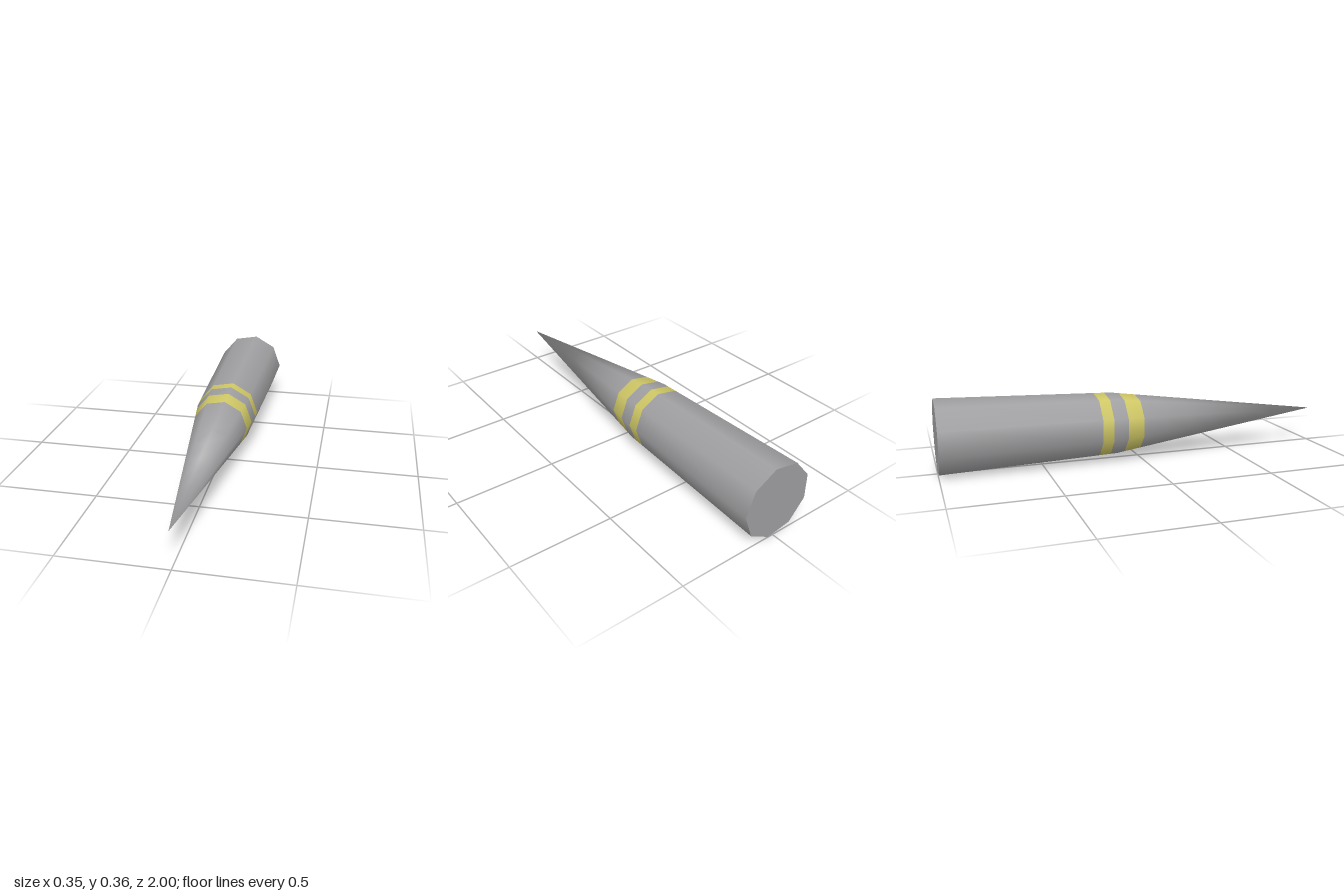
import * as THREE from 'three';

const SIDES = 9;
const CENTRE = [-0.006, 0.181];
const BACK = -1, SHOULDER = -0.14, TIP = 1;
const R_BACK = 0.183, R_SHOULDER = 0.156;

// Radius of the body at a given z
function radiusAt(z) {
  return z < SHOULDER
    ? THREE.MathUtils.mapLinear(z, BACK, SHOULDER, R_BACK, R_SHOULDER)
    : THREE.MathUtils.mapLinear(z, SHOULDER, TIP, R_SHOULDER, 0);
}

// One open nine-sided section; normals bend smoothly from radial to forward at the tip
function section(z0, z1) {
  const g = new THREE.CylinderGeometry(radiusAt(z1), radiusAt(z0), z1 - z0, SIDES, 1, true, Math.PI / 2);
  g.rotateX(Math.PI / 2);
  g.translate(0, 0, (z0 + z1) / 2);
  const pos = g.attributes.position, nor = g.attributes.normal;
  const n = new THREE.Vector3();
  for (let i = 0; i < pos.count; i++) {
    const t = Math.max(0, (pos.getZ(i) - SHOULDER) / (TIP - SHOULDER));
    n.set(nor.getX(i), nor.getY(i), 0).normalize().multiplyScalar(1 - t);
    n.z = 0.05 * (1 - t) + t;
    n.normalize();
    nor.setXYZ(i, n.x, n.y, n.z);
  }
  return g;
}

export function createModel() {
  const grey = new THREE.MeshStandardMaterial({ name: 'grey', color: 0xa0a0a2 });
  const yellow = new THREE.MeshStandardMaterial({ name: 'yellow', color: 0xcfc766 });
  const group = new THREE.Group();
  group.name = 'spike';

  const add = (name, geometry, material) => {
    const mesh = new THREE.Mesh(geometry, material);
    mesh.name = name;
    mesh.position.set(CENTRE[0], CENTRE[1], 0);
    group.add(mesh);
  };

  // Tapered shaft, two painted bands and the pointed nose
  add('shaft', section(BACK, -0.226), grey);
  add('rearBand', section(-0.226, -0.17), yellow);
  add('shaftFront', section(-0.17, SHOULDER), grey);
  add('noseBase', section(SHOULDER, -0.095), grey);
  add('frontBand', section(-0.095, -0.01), yellow);

  // Nose in short steps so the normals blend evenly towards the point
  const steps = 8;
  for (let i = 0; i < steps; i++) {
    const z = (k) => THREE.MathUtils.lerp(-0.01, TIP, k / steps);
    add('nose' + (i + 1), section(z(i), z(i + 1)), grey);
  }

  // Flat back end
  const cap = new THREE.CircleGeometry(R_BACK, SIDES, Math.PI);
  cap.rotateY(Math.PI);
  cap.translate(0, 0, BACK);
  add('backCap', cap, grey);

  return group;
}
